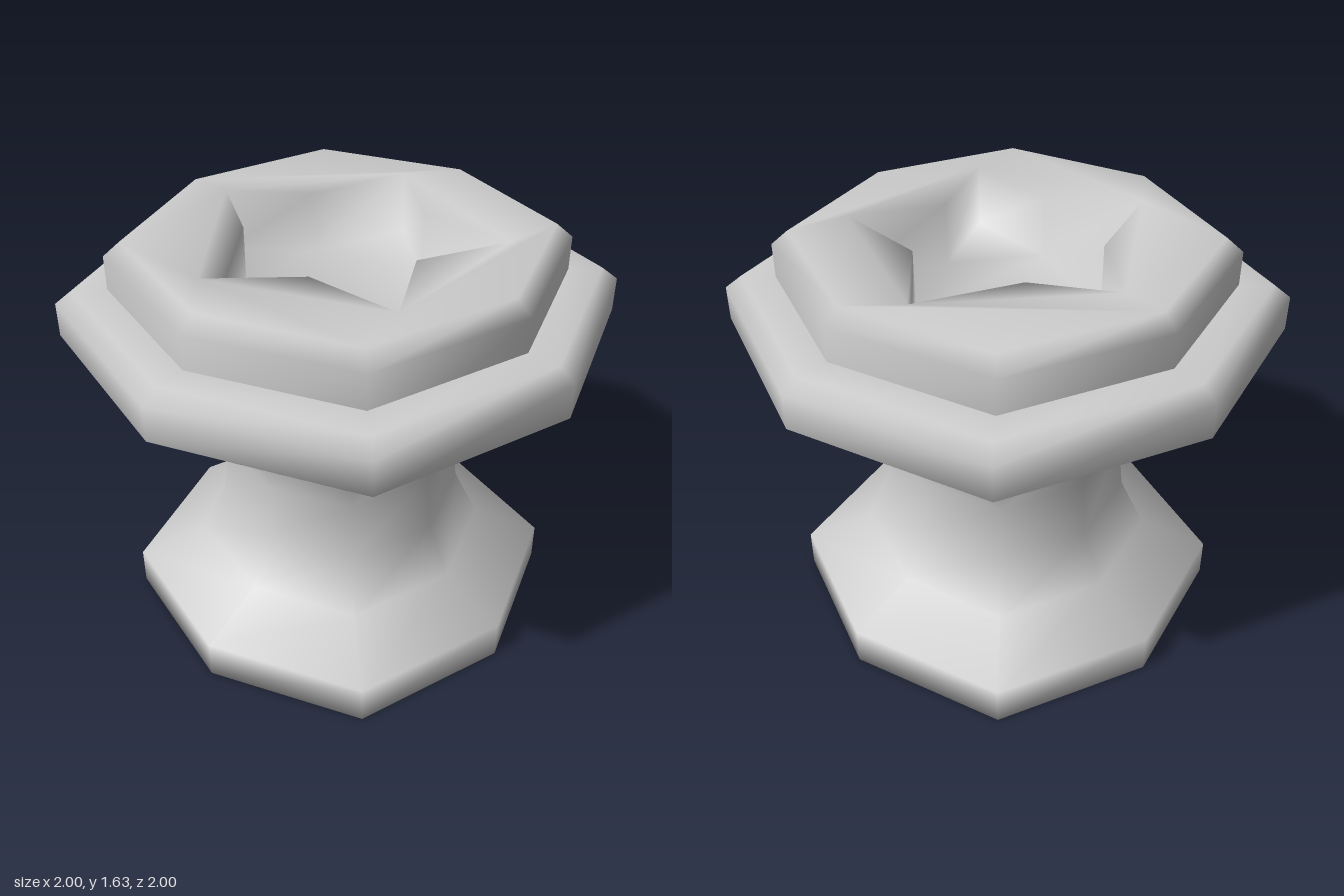
import * as THREE from 'three';

const stone = new THREE.MeshStandardMaterial({ color: 0xcccccc });
stone.name = 'pale grey';

// Collects rings of shared vertices, so normals come out smooth
class Builder {
  constructor() {
    this.pos = [];
    this.index = [];
  }
  ring(points, y) {
    return points.map(([x, z]) => this.pos.push(x, y, z) / 3 - 1);
  }
  strip(a, b) {
    const n = a.length;
    for (let j = 0; j < n; j++) {
      const k = (j + 1) % n;
      this.index.push(a[j], b[j], a[k], a[k], b[j], b[k]);
    }
  }
  cap(outer, hole, up) {
    const flat = (ids) => ids.map((i) => new THREE.Vector2(this.pos[3 * i], this.pos[3 * i + 2]));
    const ids = [...outer, ...hole];
    const pts = flat(ids);
    for (const [a, b, c] of THREE.ShapeUtils.triangulateShape(flat(outer), hole.length ? [flat(hole)] : [])) {
      const facesDown = THREE.ShapeUtils.area([pts[a], pts[b], pts[c]]) > 0;
      const [p, q] = facesDown === up ? [c, b] : [b, c];
      this.index.push(ids[a], ids[p], ids[q]);
    }
  }
  mesh(name) {
    const g = new THREE.BufferGeometry();
    g.setAttribute('position', new THREE.Float32BufferAttribute(this.pos, 3));
    g.setIndex(this.index);
    g.computeVertexNormals();
    const m = new THREE.Mesh(g, stone);
    m.name = name;
    return m;
  }
}

// Eight-sided outline whose diagonal corners sit slightly further out
function octagon(r) {
  return Array.from({ length: 8 }, (_, i) => {
    const a = (i * Math.PI) / 4;
    const s = i % 2 ? r * 1.06 : r;
    return [s * Math.cos(a), s * Math.sin(a)];
  });
}

function lathe(builder, profile) {
  const rings = profile.map(([r, y]) => builder.ring(octagon(r), y));
  for (let i = 1; i < rings.length; i++) builder.strip(rings[i - 1], rings[i]);
  return rings;
}

export function createModel() {
  const group = new THREE.Group();
  group.name = 'pedestal';

  // Foot, waisted stem and head in one smooth skin
  const body = new Builder();
  const rings = lathe(body, [
    [0.815, 0], [0.815, 0.155], [0.555, 0.28], [0.46, 0.49], [0.437, 0.72],
    [0.468, 0.97], [0.65, 1.14], [0.79, 1.21], [0.815, 1.26], [0.815, 1.58], [0.755, 1.635],
  ]);
  body.cap(rings[0], [], false);

  // Star-shaped recess in the top
  const half = [[0.195, -0.305], [0.58, -0.15], [0.33, 0.13], [0.33, 0.515]];
  const star = [[0, -0.585], ...half, [0, 0.34], ...half.map(([x, z]) => [-x, z]).reverse()];
  const lip = body.ring(star, 1.635);
  const floor = body.ring(star, 1.385);
  body.cap(rings[rings.length - 1], lip, true);
  body.strip(lip, floor);
  body.cap(floor, [], true);
  group.add(body.mesh('body'));

  // Bevelled collar around the head
  const collar = new Builder();
  lathe(collar, [[0.79, 1.21], [0.94, 1.21], [1, 1.26], [1, 1.395], [0.94, 1.445], [0.81, 1.445]]);
  group.add(collar.mesh('collar'));

  return group;
}
